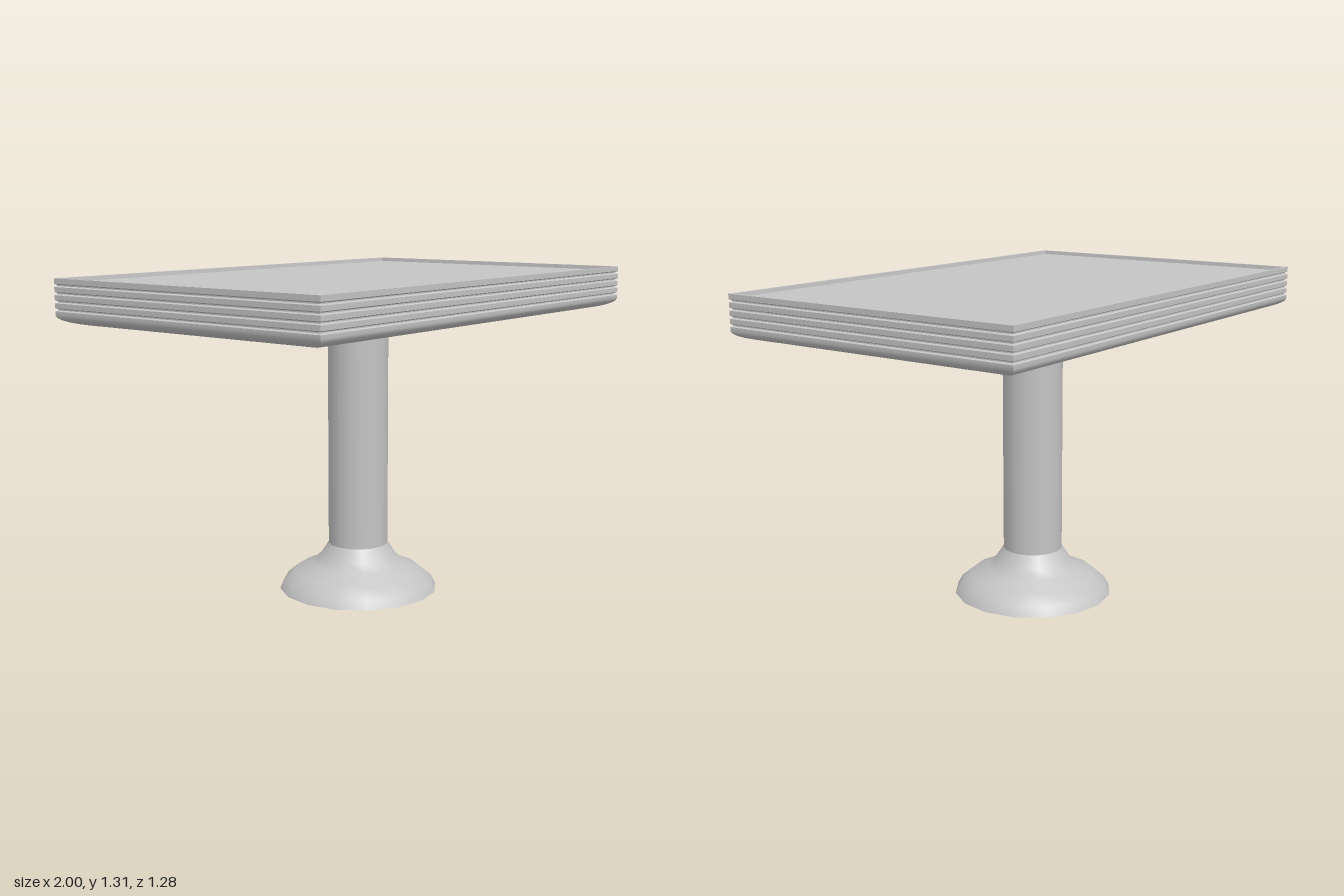
import * as THREE from 'three';
import { toCreasedNormals } from 'three/addons/utils/BufferGeometryUtils.js';

// Loft of mitred rectangles from [inset, y] sections, closed by its first and last section
function rectangleLoft(halfX, halfZ, sections) {
  const positions = [], index = [];
  for (const [inset, y] of sections) {
    const x = halfX - inset, z = halfZ - inset;
    positions.push(x, y, z, x, y, -z, -x, y, -z, -x, y, z);
  }
  for (let i = 0; i < sections.length - 1; i++) {
    for (let j = 0; j < 4; j++) {
      const a = i * 4 + j, b = i * 4 + (j + 1) % 4;
      index.push(a, b, b + 4, a, b + 4, a + 4);
    }
  }
  const t = (sections.length - 1) * 4;
  index.push(0, 2, 1, 0, 3, 2, t, t + 1, t + 2, t, t + 2, t + 3);
  const geometry = new THREE.BufferGeometry();
  geometry.setAttribute('position', new THREE.Float32BufferAttribute(positions, 3));
  geometry.setIndex(index);
  return toCreasedNormals(geometry, 0.6);
}

export function createModel() {
  const group = new THREE.Group();
  const grey = new THREE.MeshStandardMaterial({ color: 0xc4c4c4, side: THREE.DoubleSide });
  grey.name = 'light grey';

  // Table top: rounded underside, grooved edge, shallow recess inside a thin rim
  const sections = [];
  for (let i = 0; i <= 8; i++) {
    const a = (i / 8) * Math.PI / 2;
    sections.push([0.2 * (1 - Math.sin(a)), 1.17 - 0.048 * Math.cos(a)]);
  }
  for (const y of [1.19, 1.22, 1.25, 1.28]) {
    sections.push([0, y - 0.006], [0.008, y - 0.002], [0.008, y + 0.002], [0, y + 0.006]);
  }
  sections.push([0, 1.306], [0.012, 1.306], [0.014, 1.29]);
  const top = new THREE.Mesh(rectangleLoft(1, 0.64, sections), grey);
  top.name = 'tableTop';
  group.add(top);

  // Pedestal: hollow flared foot running up into the column
  const footProfile = [
    [0.327, 0], [0.308, 0.035], [0.26, 0.075], [0.19, 0.105], [0.155, 0.14], [0.123, 0.19],
  ].map(([x, y]) => new THREE.Vector2(x, y));
  const foot = new THREE.Mesh(new THREE.LatheGeometry(footProfile, 16), grey);
  foot.name = 'foot';
  group.add(foot);

  const column = new THREE.Mesh(new THREE.CylinderGeometry(0.123, 0.123, 0.94, 16, 1, true), grey);
  column.name = 'column';
  column.position.y = 0.66;
  group.add(column);

  return group;
}
